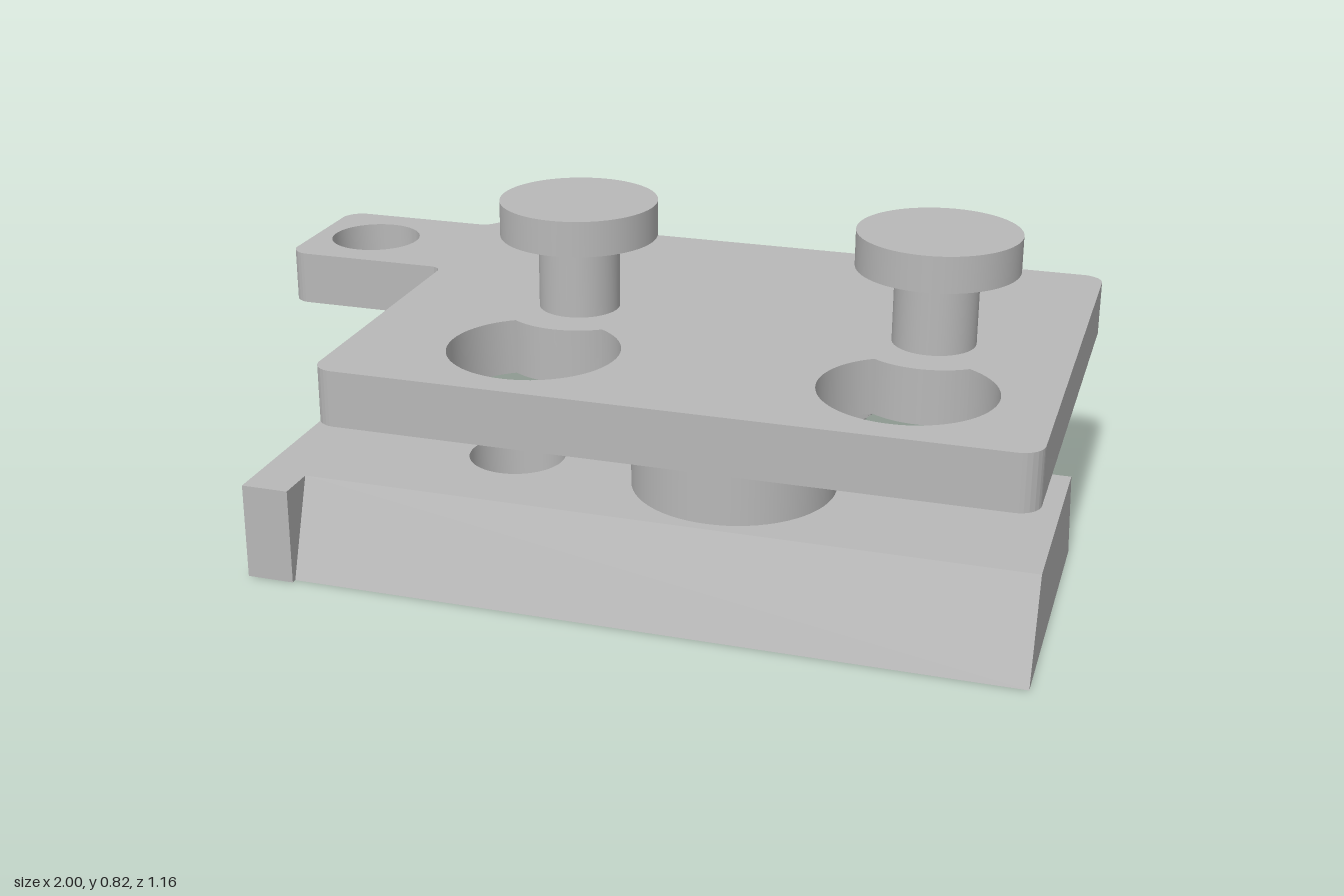
import * as THREE from 'three';
import { toCreasedNormals } from 'three/addons/utils/BufferGeometryUtils.js';

const PIN_X = [-0.16, 0.682];            // pins and the openings in front of them
const HOLE_Z = 0.315, HOLE_R = 0.195, HEAD_R = 0.184;
const MID_Z = 0.158;                     // centre line of the rail and post
const POST_X = 0.265;

export function createModel() {
  const model = new THREE.Group();
  model.name = 'slidingPlateMount';
  const metal = new THREE.MeshStandardMaterial({ color: 0xb8b8b8 });
  metal.name = 'plain grey';

  const add = (name, geometry, x = 0, y = 0, z = 0, parent = model) => {
    const mesh = new THREE.Mesh(geometry, metal);
    mesh.name = name;
    mesh.position.set(x, y, z);
    parent.add(mesh);
    return mesh;
  };
  // Slab standing on y = 0, drawn in x and z
  const slab = (shape, height) => new THREE.ExtrudeGeometry(shape, { depth: height, bevelEnabled: false, curveSegments: 32 })
    .rotateX(Math.PI / 2).translate(0, height, 0);
  const circle = (x, z, r) => new THREE.Path().absarc(x, z, r, 0, Math.PI * 2, false);

  // Top plate with rounded corners and a side tab
  const outline = new THREE.Shape();
  const r = 0.05, q = Math.PI / 2;
  outline.moveTo(-0.54, -0.58);
  outline.absarc(1 - r, -0.58 + r, r, -q, 0, false);
  outline.absarc(1 - r, 0.58 - r, r, 0, q, false);
  outline.absarc(-0.58 + r, 0.58 - r, r, q, 2 * q, false);
  outline.absarc(-0.61, -0.13, 0.03, 0, -q, true);
  outline.absarc(-1 + r, -0.16 - r, r, q, 2 * q, false);
  outline.absarc(-1 + r, -0.53 + r, r, 2 * q, 3 * q, false);
  outline.lineTo(-0.625, -0.53);
  outline.quadraticCurveTo(-0.605, -0.53, -0.59, -0.552);
  outline.quadraticCurveTo(-0.57, -0.58, -0.54, -0.58);
  outline.holes.push(circle(-0.842, -0.345, 0.113));

  // Round openings, bitten into by the round base of each pin
  const cuspZ = (HOLE_Z ** 2 + HEAD_R ** 2 - HOLE_R ** 2) / (2 * HOLE_Z);
  const cuspX = Math.sqrt(HEAD_R ** 2 - cuspZ ** 2);
  const outer = Math.atan2(cuspZ - HOLE_Z, cuspX);
  const inner = Math.atan2(cuspZ, cuspX);
  for (const x of PIN_X) {
    const opening = new THREE.Path();
    opening.absarc(x, HOLE_Z, HOLE_R, outer, Math.PI - outer, false);
    opening.absarc(x, 0, HEAD_R, Math.PI - inner, inner, true);
    outline.holes.push(opening);
  }
  add('topPlate', toCreasedNormals(slab(outline, 0.13), 0.5), 0, 0.435, 0);

  // Headed pins
  for (const x of PIN_X) {
    const pin = new THREE.Group();
    pin.name = 'pin';
    pin.position.x = x;
    add('pinStem', new THREE.CylinderGeometry(0.095, 0.095, 0.175, 48), 0, 0.6525, 0, pin);
    add('pinHead', new THREE.CylinderGeometry(HEAD_R, HEAD_R, 0.083, 64), 0, 0.7815, 0, pin);
    model.add(pin);
  }

  // Post and its flared collar
  add('post', new THREE.CylinderGeometry(0.236, 0.236, 0.15, 64), POST_X, 0.305, MID_Z);
  const collar = new THREE.CylinderGeometry(0.318, 0.236, 0.055, 128, 12, true);
  const p = collar.attributes.position;
  for (let i = 0; i < p.count; i++) {
    // Stop the collar where it meets the cylinder of either opening
    const radius = Math.hypot(p.getX(i), p.getZ(i));
    const ux = p.getX(i) / radius, uz = p.getZ(i) / radius;
    let limit = radius;
    for (const x of PIN_X) {
      const dx = x - POST_X, dz = HOLE_Z - MID_Z;
      const along = dx * ux + dz * uz;
      const inside = HOLE_R ** 2 - (dx * dx + dz * dz - along * along);
      if (along > 0 && inside > 0) limit = Math.min(limit, along - Math.sqrt(inside));
    }
    p.setX(i, ux * limit);
    p.setZ(i, uz * limit);
  }
  add('flaredCollar', toCreasedNormals(collar, 0.4), POST_X, 0.4075, MID_Z);

  // Dovetail rail with a vertical hole, narrowed at the top
  const base = new THREE.Shape();
  base.moveTo(-0.69, -0.345);
  base.lineTo(1, -0.345);
  base.lineTo(1, 0.345);
  base.lineTo(-0.69, 0.345);
  base.closePath();
  base.holes.push(circle(-0.265, 0, 0.114));
  const rail = slab(base, 0.23);
  const v = rail.attributes.position;
  for (let i = 0; i < v.count; i++) {
    if (v.getY(i) > 0.1 && Math.abs(v.getZ(i)) > 0.3) v.setZ(i, Math.sign(v.getZ(i)) * 0.263);
  }
  add('dovetailRail', toCreasedNormals(rail, 0.3), 0, 0, MID_Z);

  // Square stop at the end of the rail
  add('endStop', new THREE.BoxGeometry(0.113, 0.23, 0.715), -0.7465, 0.115, MID_Z);

  return model;
}
